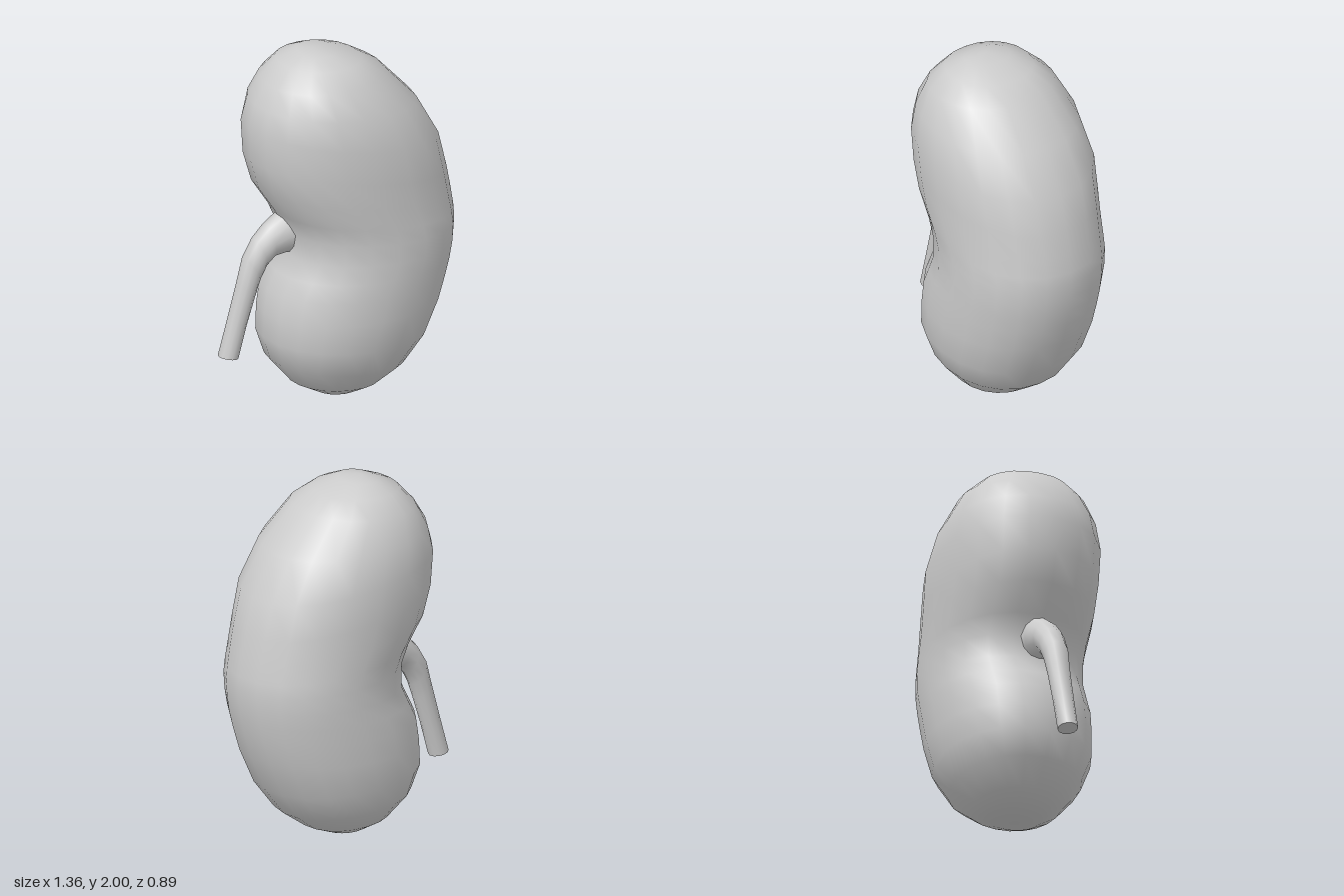
import * as THREE from 'three';
import { mergeVertices } from 'three/addons/utils/BufferGeometryUtils.js';

// Loft through rounded sections; each is [x1, y1, x2, y2, halfDepth],
// the two ends of its width in the xy plane and its half depth in z.
function loft(name, sections, sides, power) {
  const positions = [], index = [];
  const round = (v) => Math.sign(v) * Math.abs(v) ** (2 / power);
  sections.forEach(([x1, y1, x2, y2, d], r) => {
    for (let i = 0; i < sides; i++) {
      const t = (i / sides) * Math.PI * 2;
      const c = round(Math.cos(t)) / 2, s = round(Math.sin(t));
      positions.push((x1 + x2) / 2 + (x1 - x2) * c, (y1 + y2) / 2 + (y1 - y2) * c, d * s);
      if (r < sections.length - 1) {
        const a = r * sides + i, b = r * sides + ((i + 1) % sides);
        index.push(a, b, a + sides, b, b + sides, a + sides);
      }
    }
  });
  let geometry = new THREE.BufferGeometry();
  geometry.setAttribute('position', new THREE.Float32BufferAttribute(positions, 3));
  geometry.setIndex(index);
  geometry = mergeVertices(geometry, 1e-5);
  geometry.computeVertexNormals();
  const mesh = new THREE.Mesh(geometry, new THREE.MeshStandardMaterial({ color: 0xcccccc }));
  mesh.name = name;
  return mesh;
}

export function createModel() {
  const group = new THREE.Group();
  group.name = 'kidney';

  // Bean-shaped body, top to bottom: outer edge, inner edge, half depth
  group.add(loft('kidneyBody', [
    [-0.12, 2.0, -0.12, 2.0, 0],
    [0.0, 1.99, -0.2, 1.985, 0.13],
    [0.14, 1.94, -0.31, 1.94, 0.24],
    [0.26, 1.87, -0.4, 1.84, 0.335],
    [0.45, 1.67, -0.465, 1.73, 0.41],
    [0.58, 1.44, -0.5, 1.6, 0.445],
    [0.63, 1.24, -0.49, 1.41, 0.44],
    [0.655, 1.11, -0.44, 1.24, 0.435],
    [0.67, 1.01, -0.34, 1.09, 0.43],
    [0.675, 0.94, -0.29, 0.98, 0.43],
    [0.668, 0.85, -0.29, 0.85, 0.43],
    [0.655, 0.76, -0.34, 0.75, 0.43],
    [0.63, 0.66, -0.39, 0.65, 0.43],
    [0.59, 0.53, -0.41, 0.52, 0.425],
    [0.5, 0.33, -0.415, 0.38, 0.41],
    [0.38, 0.17, -0.37, 0.24, 0.345],
    [0.24, 0.07, -0.25, 0.1, 0.24],
    [0.13, 0.025, -0.12, 0.03, 0.14],
    [0, 0.005, 0, 0.005, 0],
  ], 20, 2.15));

  // Tube leaving the notch, flared at its root and bending down
  group.add(loft('ureter', [
    [-0.22, 0.84, -0.22, 1.11, 0.11],
    [-0.29, 0.855, -0.32, 1.085, 0.1],
    [-0.36, 0.845, -0.4, 1.03, 0.085],
    [-0.405, 0.8, -0.47, 0.96, 0.077],
    [-0.44, 0.73, -0.53, 0.86, 0.07],
    [-0.47, 0.64, -0.567, 0.72, 0.062],
    [-0.52, 0.48, -0.622, 0.52, 0.057],
    [-0.57, 0.295, -0.68, 0.315, 0.055],
  ], 12, 2));

  // Flat cut end of the tube
  group.add(loft('ureterEnd', [
    [-0.57, 0.295, -0.68, 0.315, 0.055],
    [-0.625, 0.305, -0.625, 0.305, 0],
  ], 12, 2));

  return group;
}
